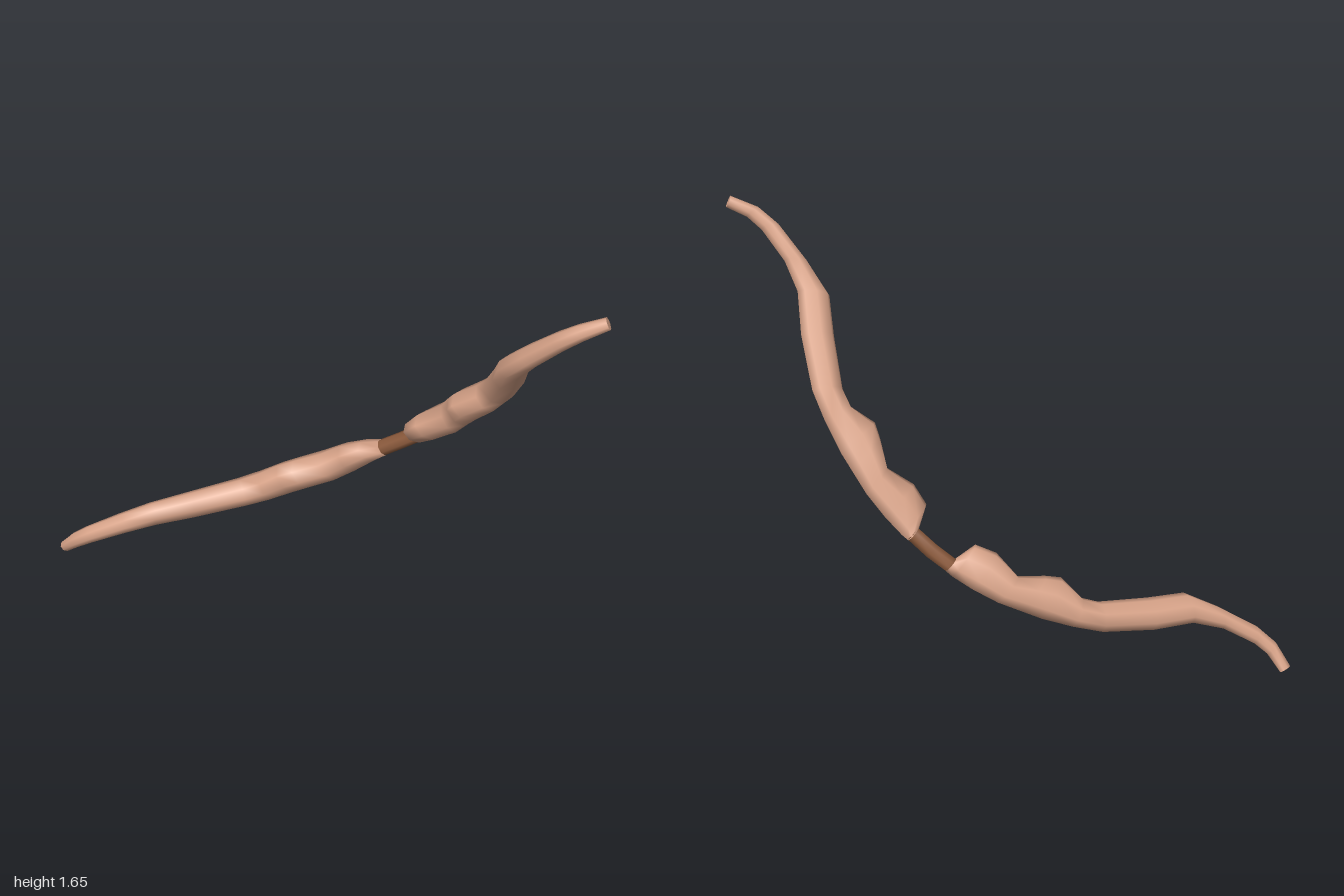
import * as THREE from 'three';

const SIDES = 8;

// Frame of the bow: x = outward belly, y = across the limb, z = along the bow
const along = new THREE.Vector3(0.219, 0.6165, 0.756).normalize();
const out = new THREE.Vector3(0.89, -0.445, 0.099);
out.addScaledVector(along, -out.dot(along)).normalize();
const across = new THREE.Vector3().crossVectors(along, out);
const placement = new THREE.Matrix4()
  .makeBasis(out, across, along)
  .setPosition(0.35, 0.578, 0.042);

// Limb stations: outer edge (t, s), inner edge (t, s), half width.
// t runs from the grip to the tip, s is the outward offset.
const LIMB = [
  [0.085, 0.027, 0.085, -0.032, 0.032],
  [0.115, 0.027, 0.112, -0.118, 0.042],
  [0.20, 0.016, 0.19, -0.145, 0.055],
  [0.30, -0.006, 0.30, -0.128, 0.06],
  [0.39, -0.038, 0.38, -0.195, 0.06],
  [0.46, -0.063, 0.43, -0.229, 0.06],
  [0.57, -0.115, 0.53, -0.217, 0.058],
  [0.67, -0.172, 0.59, -0.247, 0.055],
  [0.82, -0.303, 0.73, -0.38, 0.05],
  [0.925, -0.42, 0.83, -0.485, 0.044],
  [1.03, -0.478, 0.96, -0.528, 0.039],
  [1.16, -0.512, 1.12, -0.567, 0.033],
  [1.225, -0.513, 1.215, -0.568, 0.029],
  [1.30, -0.49, 1.315, -0.533, 0.022],
];

const GRIP = [
  [-0.09, 0.026, -0.09, -0.031, 0.031],
  [0, 0.031, 0, -0.027, 0.031],
  [0.09, 0.026, 0.09, -0.031, 0.031],
];

// Loft of elliptical rings through the stations, with flat end caps
function loft(stations) {
  const pos = [];
  const index = [];
  const addRing = ([to, so, ti, si, w]) => {
    for (let j = 0; j < SIDES; j++) {
      const a = (j / SIDES) * Math.PI * 2;
      const c = Math.cos(a) / 2;
      pos.push((so + si) / 2 + c * (so - si), w * Math.sin(a), (to + ti) / 2 + c * (to - ti));
    }
  };
  stations.forEach(addRing);
  for (let i = 0; i < stations.length - 1; i++) {
    for (let j = 0; j < SIDES; j++) {
      const k = (j + 1) % SIDES;
      const a = i * SIDES + j, b = i * SIDES + k;
      index.push(a, b, b + SIDES, a, b + SIDES, a + SIDES);
    }
  }
  // Caps use their own vertices so that the ends stay crisp
  [stations[0], stations[stations.length - 1]].forEach((station, end) => {
    const base = pos.length / 3;
    addRing(station);
    for (let j = 1; j < SIDES - 1; j++) {
      if (end) index.push(base, base + j, base + j + 1);
      else index.push(base, base + j + 1, base + j);
    }
  });
  const g = new THREE.BufferGeometry();
  g.setAttribute('position', new THREE.Float32BufferAttribute(pos, 3));
  g.setIndex(index);
  g.applyMatrix4(placement);
  g.computeVertexNormals();
  return g;
}

export function createModel() {
  const wood = new THREE.MeshStandardMaterial({ name: 'paleWood', color: 0xd9a489 });
  const leather = new THREE.MeshStandardMaterial({ name: 'brownLeather', color: 0x8b5a3c });

  const group = new THREE.Group();
  group.name = 'bow';
  const add = (name, stations, material) => {
    const mesh = new THREE.Mesh(loft(stations), material);
    mesh.name = name;
    group.add(mesh);
  };

  // The lower limb mirrors the upper one about the grip
  const mirrored = LIMB.map(([to, so, ti, si, w]) => [-to, so, -ti, si, w]).reverse();
  add('upperLimb', LIMB, wood);
  add('lowerLimb', mirrored, wood);
  add('grip', GRIP, leather);
  return group;
}
